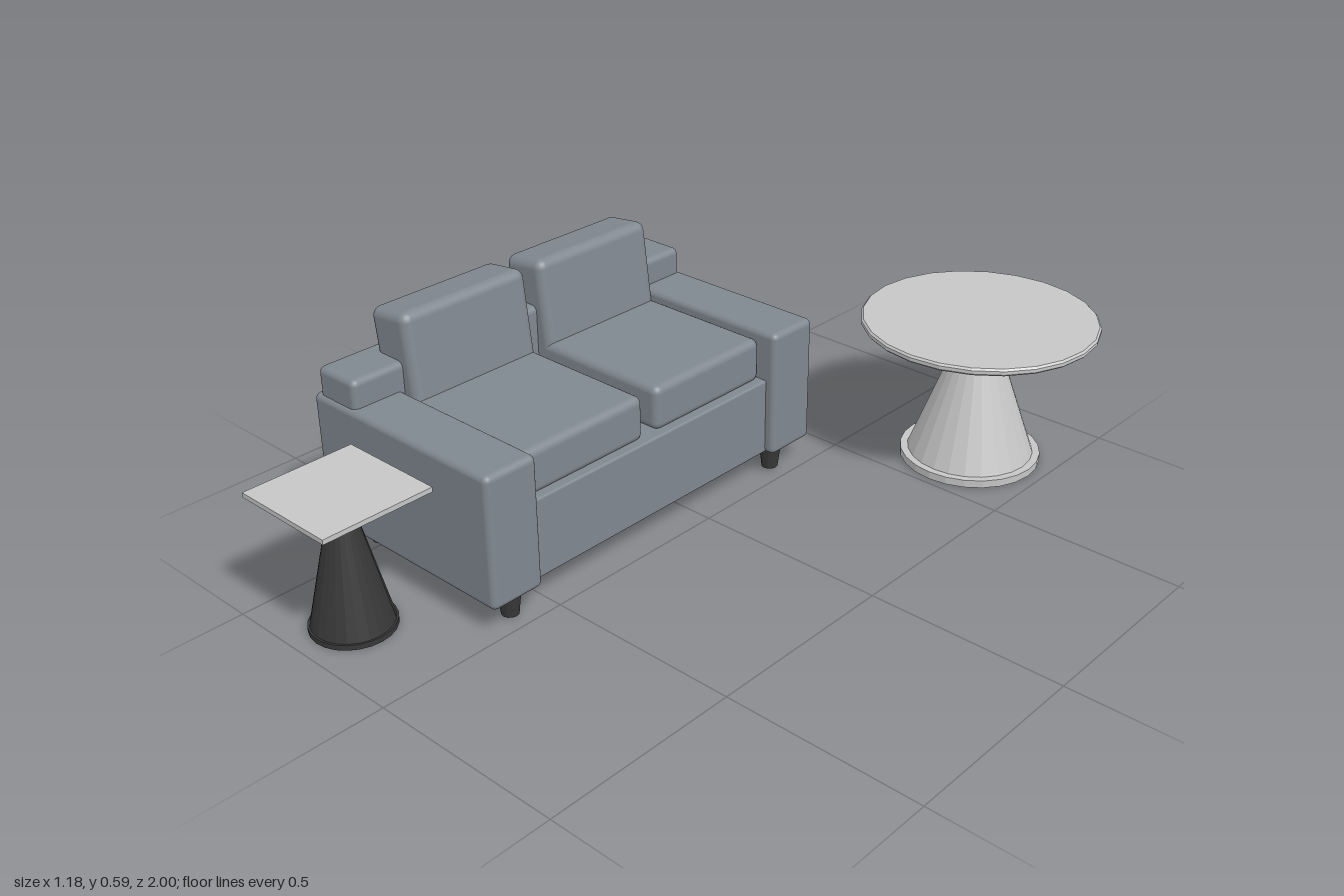
import * as THREE from 'three';
import { RoundedBoxGeometry } from 'three/addons/geometries/RoundedBoxGeometry.js';

const material = (name, color) => {
  const m = new THREE.MeshStandardMaterial({ color });
  m.name = name;
  return m;
};

export function createModel() {
  const fabric = material('blue grey fabric', 0x808890);
  const pale = material('pale grey', 0xc6c6c6);
  const dark = material('charcoal', 0x383838);
  const model = new THREE.Group();

  const group = (name) => {
    const g = new THREE.Group();
    g.name = name;
    model.add(g);
    return g;
  };
  const add = (parent, name, geometry, mat) => {
    const mesh = new THREE.Mesh(geometry, mat);
    mesh.name = name;
    parent.add(mesh);
    return mesh;
  };
  // Rounded block given by its limits on each axis
  const block = (parent, name, [x0, x1], [y0, y1], [z0, z1], r) => {
    const mesh = add(parent, name, new RoundedBoxGeometry(x1 - x0, y1 - y0, z1 - z0, 3, r), fabric);
    mesh.position.set((x0 + x1) / 2, (y0 + y1) / 2, (z0 + z1) / 2);
    return mesh;
  };
  // Faceted cone or disc between two heights
  const facetedCone = (parent, name, mat, x, z, y0, y1, rBottom, rTop, sides = 24) => {
    const g = new THREE.CylinderGeometry(rTop, rBottom, y1 - y0, sides).toNonIndexed();
    g.computeVertexNormals();
    add(parent, name, g, mat).position.set(x, (y0 + y1) / 2, z);
  };

  // Sofa, facing +x
  const sofa = group('sofa');
  block(sofa, 'base', [-0.575, -0.03], [0.072, 0.275], [-0.32, 0.615], 0.006);
  block(sofa, 'backrest', [-0.58, -0.45], [0.08, 0.474], [-0.382, 0.678], 0.016);
  for (const [z0, z1] of [[-0.39, -0.245], [0.542, 0.687]]) {
    block(sofa, 'arm', [-0.595, -0.003], [0.07, 0.405], [z0, z1], 0.016);
  }
  for (const [z0, z1] of [[-0.244, 0.126], [0.168, 0.538]]) {
    block(sofa, 'seatCushion', [-0.47, -0.05], [0.27, 0.385], [z0, z1], 0.02);
    const cushion = block(sofa, 'backCushion', [-0.552, -0.424], [0.285, 0.587], [z0, z1], 0.024);
    cushion.position.set(-0.478, 0.437, (z0 + z1) / 2);
    cushion.rotation.z = 0.125;
  }
  for (const x of [-0.515, -0.055]) {
    for (const z of [-0.295, 0.6]) {
      facetedCone(sofa, 'leg', dark, x, z, 0.005, 0.078, 0.021, 0.03, 12);
    }
  }

  // Square side table on a conical foot
  const side = group('sideTable');
  facetedCone(side, 'sideTableFoot', dark, -0.285, 0.857, 0, 0.013, 0.1, 0.1);
  facetedCone(side, 'sideTablePedestal', dark, -0.285, 0.857, 0.013, 0.333, 0.095, 0.02);
  add(side, 'sideTableTop', new THREE.BoxGeometry(0.28, 0.012, 0.284), pale)
    .position.set(-0.285, 0.339, 0.858);

  // Round table with a softened rim
  const round = group('roundTable');
  facetedCone(round, 'roundTableFoot', pale, 0.288, -0.7, 0, 0.02, 0.181, 0.181);
  facetedCone(round, 'roundTablePedestal', pale, 0.288, -0.7, 0.02, 0.376, 0.162, 0.033);
  const rim = [[0, 0], [0.295, 0], [0.3, 0.005], [0.3, 0.014], [0.295, 0.019], [0, 0.019]];
  const top = new THREE.LatheGeometry(rim.map(([r, y]) => new THREE.Vector2(r, y)), 24).toNonIndexed();
  top.computeVertexNormals();
  add(round, 'roundTableTop', top, pale).position.set(0.288, 0.373, -0.7);

  return model;
}
